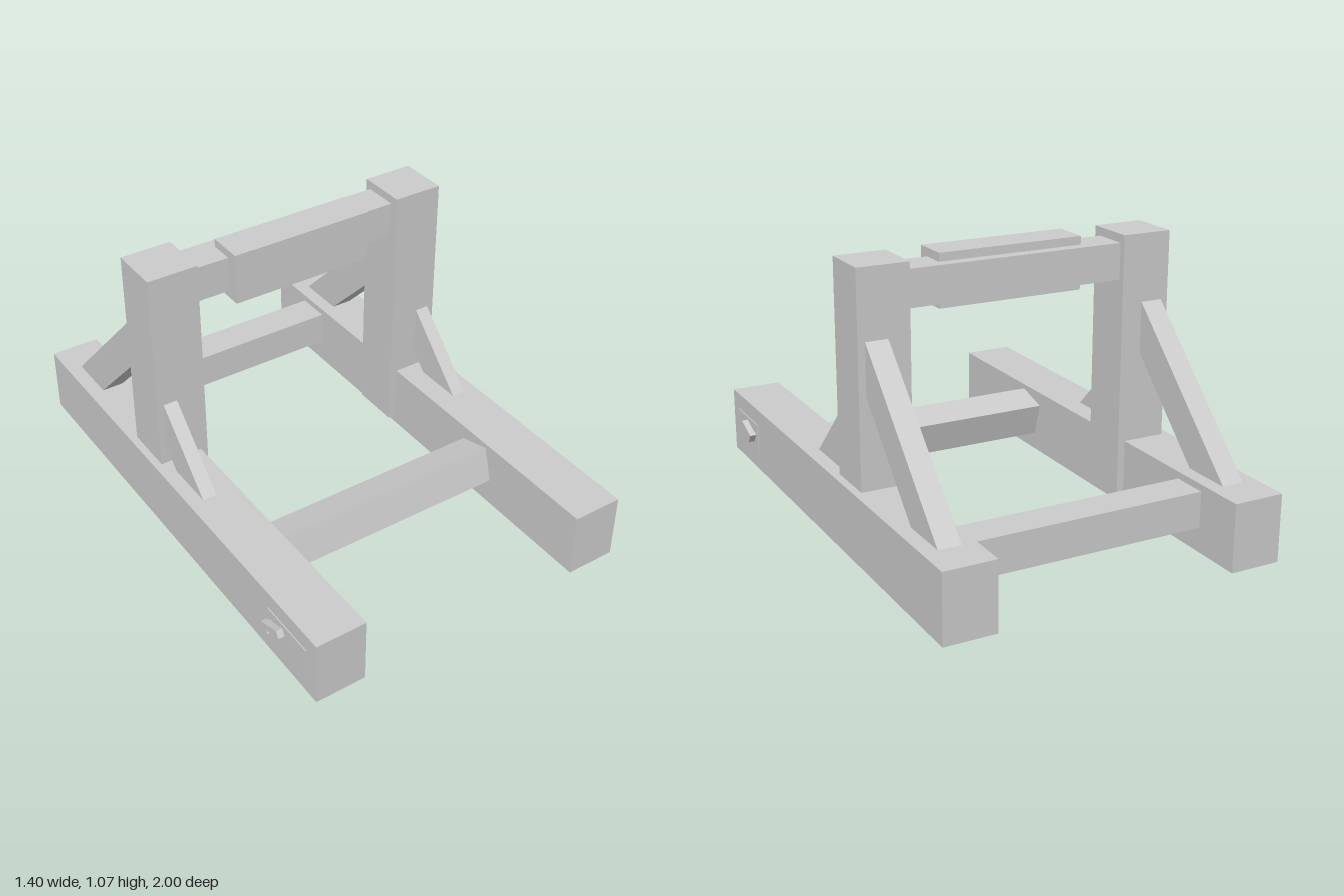
import * as THREE from 'three';

const material = new THREE.MeshStandardMaterial({ color: 0xcccccc, flatShading: true });

// Box given by its extents along each axis
function box(name, [x0, x1], [y0, y1], [z0, z1]) {
  const mesh = new THREE.Mesh(new THREE.BoxGeometry(x1 - x0, y1 - y0, z1 - z0), material);
  mesh.name = name;
  mesh.position.set((x0 + x1) / 2, (y0 + y1) / 2, (z0 + z1) / 2);
  return mesh;
}

// Side outline of [z, y] points, extruded across x from x0 to x1
function sidePlate(name, x0, x1, points) {
  const shape = new THREE.Shape(points.map(([z, y]) => new THREE.Vector2(z, y)));
  const geometry = new THREE.ExtrudeGeometry(shape, { depth: x1 - x0, bevelEnabled: false });
  geometry.rotateY(-Math.PI / 2).translate(x1, 0, 0);
  const mesh = new THREE.Mesh(geometry, material);
  mesh.name = name;
  return mesh;
}

function createSide(s) {
  const side = new THREE.Group();
  side.name = s > 0 ? 'leftSide' : 'rightSide';
  // Range across x, mirrored for the right side
  const across = (a, b) => (s > 0 ? [a, b] : [-b, -a]);

  side.add(box('rail', across(0.465, 0.665), [0, 0.262], [-1, 1]));
  side.add(box('post', across(0.435, 0.635), [0.03, 1.073], [-0.305, -0.105]));

  // Diagonal braces, their ends sunk slightly into post and rail
  side.add(sidePlate('rearBrace', ...across(0.52, 0.607),
    [[-0.295, 0.82], [-0.87, 0.245], [-0.67, 0.245], [-0.295, 0.62]]));
  side.add(sidePlate('frontBrace', ...across(0.552, 0.608),
    [[-0.115, 0.54], [-0.115, 0.34], [-0.02, 0.245], [0.18, 0.245]]));

  // Latch on the outer face of the rail
  side.add(box('latchPlate', across(0.655, 0.669), [0.068, 0.195], [0.7, 0.94]));
  side.add(sidePlate('latchLever', ...across(0.674, 0.699),
    [[0.82, 0.163], [0.805, 0.188], [0.706, 0.152], [0.728, 0.118], [0.75, 0.126], [0.743, 0.138]]));
  side.add(box('latchStem', across(0.66, 0.68), [0.135, 0.155], [0.72, 0.745]));
  return side;
}

export function createModel() {
  const model = new THREE.Group();
  model.name = 'timberFrame';
  model.add(createSide(1), createSide(-1));

  // Upper beam with the thicker block at its middle
  model.add(box('topBeam', [-0.44, 0.44], [0.9, 1.04], [-0.28, -0.14]));
  model.add(box('beamBlock', [-0.29, 0.29], [0.87, 1.072], [-0.235, -0.09]));

  // Cross beams between the rails, the front one tilted back
  model.add(box('rearCrossBeam', [-0.47, 0.47], [0.095, 0.235], [-0.8, -0.66]));
  const front = box('frontCrossBeam', [-0.47, 0.47], [0.087, 0.227], [0.362, 0.502]);
  front.rotation.x = -THREE.MathUtils.degToRad(16);
  model.add(front);
  return model;
}
